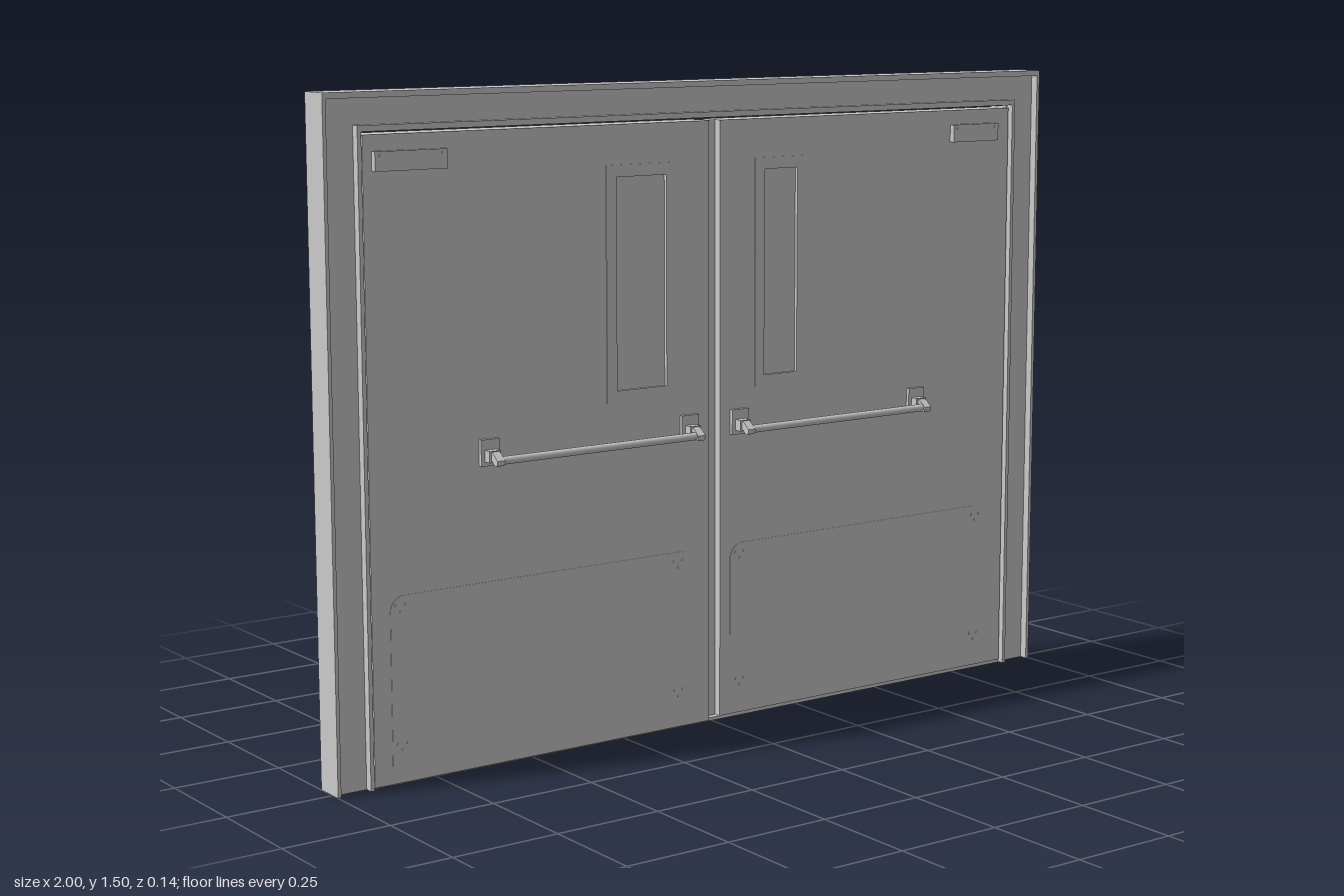
import * as THREE from 'three';

const material = new THREE.MeshStandardMaterial({ color: 0xcccccc, flatShading: true });
const smooth = new THREE.MeshStandardMaterial({ color: 0xcccccc });
const BACK = -0.05, FACE = 0.017; // door leaf back and front planes

function add(parent, name, geometry, mat = material) {
  const mesh = new THREE.Mesh(geometry, mat);
  mesh.name = name;
  parent.add(mesh);
  return mesh;
}

// box given by its extents
function box(parent, name, x0, x1, y0, y1, z0, z1) {
  const mesh = add(parent, name, new THREE.BoxGeometry(x1 - x0, y1 - y0, z1 - z0));
  mesh.position.set((x0 + x1) / 2, (y0 + y1) / 2, (z0 + z1) / 2);
  return mesh;
}

function rect(Type, x0, x1, y0, y1) {
  return new Type([[x0, y0], [x1, y0], [x1, y1], [x0, y1]].map(p => new THREE.Vector2(...p)));
}

function extrude(parent, name, shape, z0, z1) {
  const geometry = new THREE.ExtrudeGeometry(shape, { depth: z1 - z0, bevelEnabled: false, curveSegments: 8 });
  geometry.translate(0, 0, z0);
  return add(parent, name, geometry);
}

// door surround: an arch open at the floor
function arch(parent, name, outer, outerTop, inner, innerTop, z0, z1) {
  const points = [[-outer, 0], [-inner, 0], [-inner, innerTop], [inner, innerTop],
    [inner, 0], [outer, 0], [outer, outerTop], [-outer, outerTop]];
  extrude(parent, name, new THREE.Shape(points.map(p => new THREE.Vector2(...p))), z0, z1);
}

function addWindow(parent, x0, x1) {
  const y0 = 0.785, y1 = 1.32, m = 0.027;
  box(parent, 'windowBackPanel', x0, x1, y0, y1, -0.071, BACK);
  box(parent, 'windowPane', x0 + m, x1 - m, y0 + m, y1 - m, BACK, FACE - 0.006);
  const trim = rect(THREE.Shape, x0, x1, y0, y1);
  trim.holes.push(rect(THREE.Path, x0 + m, x1 - m, y0 + m, y1 - m));
  extrude(parent, 'windowTrim', trim, FACE, FACE + 0.002);
}

// kick plate with rounded top corners
function addKickPlate(parent, x0, x1) {
  const r = 0.035, top = 0.42, s = new THREE.Shape();
  s.moveTo(x0, 0.04);
  s.lineTo(x1, 0.04);
  s.lineTo(x1, top - r);
  s.absarc(x1 - r, top - r, r, 0, Math.PI / 2);
  s.absarc(x0 + r, top - r, r, Math.PI / 2, Math.PI);
  extrude(parent, 'kickPlate', s, FACE, FACE + 0.001);
}

// three small screw heads in a triangle
function addScrews(parent, x, y) {
  for (const [dx, dy] of [[-0.012, 0.007], [0.012, 0.007], [0, -0.008]]) {
    const screw = add(parent, 'screw', new THREE.CylinderGeometry(0.003, 0.003, 0.004, 8));
    screw.rotation.x = Math.PI / 2;
    screw.position.set(x + dx, y + dy, FACE + 0.001);
  }
}

function addBracket(parent, x) {
  const bracket = new THREE.Group();
  bracket.name = 'barBracket';
  bracket.position.x = x;
  parent.add(bracket);
  box(bracket, 'basePlate', -0.024, 0.024, 0.68, 0.739, FACE, 0.026);
  box(bracket, 'hub', -0.015, 0.015, 0.69, 0.716, 0.026, 0.045);
  // arm drooping from the hub to the bar, profile drawn as (z, y)
  const arm = new THREE.Shape();
  arm.moveTo(0.03, 0.716);
  arm.lineTo(0.03, 0.696);
  arm.lineTo(0.045, 0.696);
  arm.lineTo(0.06, 0.684);
  arm.quadraticCurveTo(0.071, 0.684, 0.07, 0.697);
  arm.lineTo(0.052, 0.712);
  const geometry = new THREE.ExtrudeGeometry(arm, { depth: 0.02, bevelEnabled: false, curveSegments: 6 });
  geometry.rotateY(-Math.PI / 2).translate(0.01, 0, 0);
  add(bracket, 'arm', geometry);
}

function addPushBar(parent, x0, x1) {
  const bar = add(parent, 'pushBar', new THREE.CylinderGeometry(0.009, 0.009, x1 - x0, 20), smooth);
  bar.rotation.z = Math.PI / 2;
  bar.position.set((x0 + x1) / 2, 0.695, 0.057);
  addBracket(parent, x0);
  addBracket(parent, x1);
}

function addDoor(root, d) {
  const door = new THREE.Group();
  door.name = d.name;
  root.add(door);
  // leaf with window opening
  const leaf = rect(THREE.Shape, d.x0, d.x1, d.bottom, 1.41);
  const [w0, w1] = d.window;
  leaf.holes.push(rect(THREE.Path, w0 + 0.027, w1 - 0.027, 0.812, 1.293));
  extrude(door, 'leaf', leaf, BACK, FACE);
  addWindow(door, w0, w1);
  addPushBar(door, ...d.bar);
  addKickPlate(door, ...d.kick);
  for (const x of d.screws) for (const y of [0.085, 0.392]) addScrews(door, x, y);
  // upper cover plate with two screws
  const [p0, p1] = d.plate;
  box(door, 'coverPlate', p0, p1, 1.333, 1.375, FACE, 0.031);
  for (const x of [p0 + 0.012, p1 - 0.012]) {
    const screw = add(door, 'coverScrew', new THREE.CylinderGeometry(0.003, 0.003, 0.003, 8));
    screw.rotation.x = Math.PI / 2;
    screw.position.set(x, 1.367, 0.0315);
  }
}

export function createModel() {
  const root = new THREE.Group();
  root.name = 'doubleDoor';

  // surround: recessed face between an outer rim and an inner trim
  arch(root, 'frameBody', 1, 1.5, 0.908, 1.415, BACK, 0.006);
  arch(root, 'frameRim', 1, 1.5, 0.992, 1.487, 0.006, 0.025);
  arch(root, 'frameInnerTrim', 0.92, 1.43, 0.911, 1.417, 0.006, 0.025);

  // recessed strip behind the meeting gap, and floor sill
  box(root, 'meetingStrip', -0.012, 0.02, 0, 1.41, -0.025, -0.002);
  box(root, 'sill', -0.908, 0.908, 0, 0.008, BACK + 0.002, FACE - 0.004);

  addDoor(root, { name: 'rightDoor', x0: -0.905, x1: -0.012, bottom: 0.003, window: [-0.295, -0.105],
    bar: [-0.608, -0.07], kick: [-0.86, -0.06], screws: [-0.835, -0.1], plate: [-0.883, -0.708] });
  addDoor(root, { name: 'leftDoor', x0: 0.02, x1: 0.905, bottom: 0.009, window: [0.12, 0.27],
    bar: [0.073, 0.61], kick: [0.05, 0.85], screws: [0.077, 0.815], plate: [0.716, 0.86] });

  return root;
}
